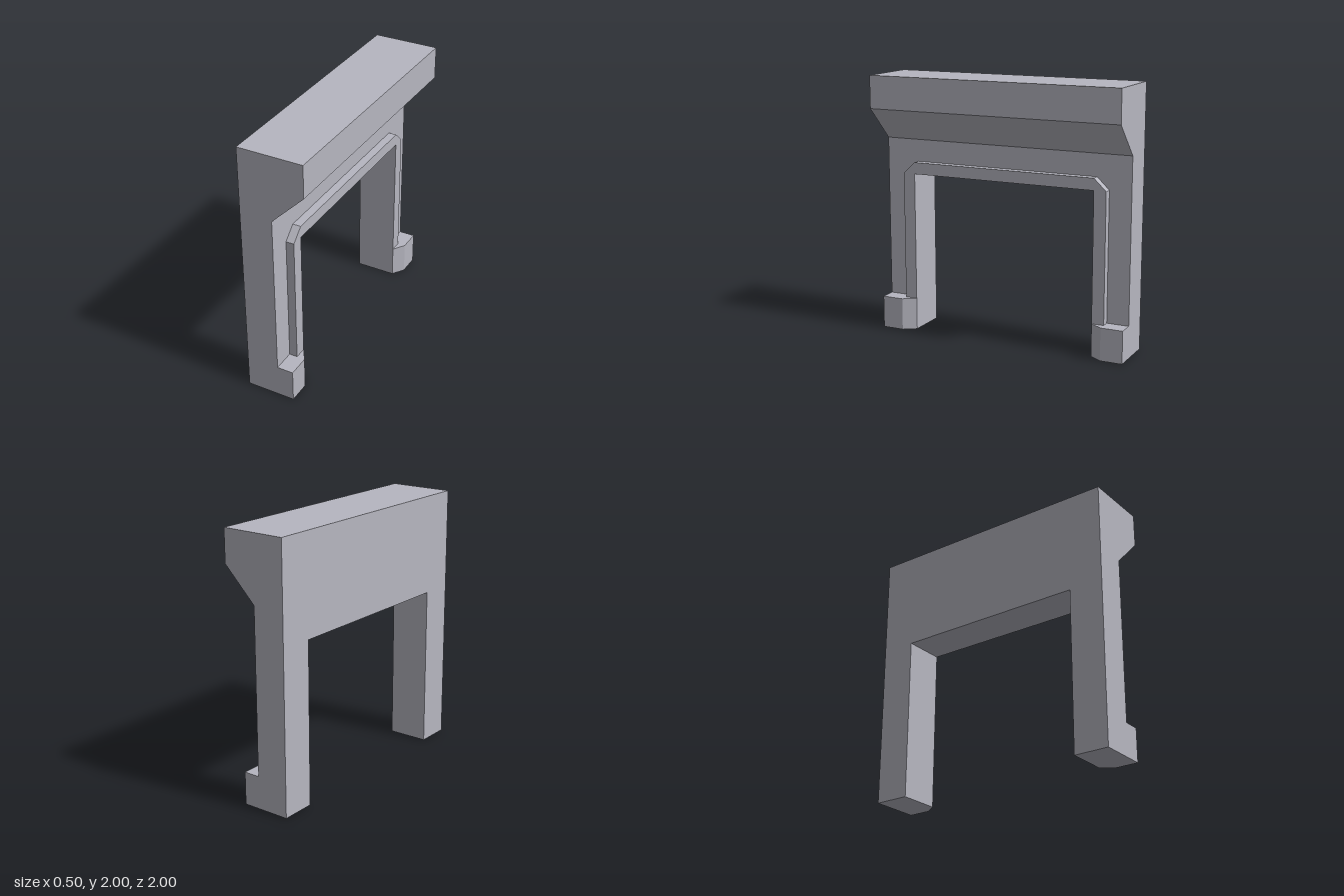
import * as THREE from 'three';

const HALF = 1, OPEN = 0.735, OPEN_TOP = 1.24, BACK = -0.25;
const TRIM = 0.83, TRIM_TOP = 1.33, TRIM_DEPTH = 0.0625, FOOT_TOP = 0.25;

// Straight extrusion of a closed outline
function prism(points, depth) {
  const shape = new THREE.Shape(points.map(([a, b]) => new THREE.Vector2(a, b)));
  return new THREE.ExtrudeGeometry(shape, { depth, bevelEnabled: false });
}

// Outline drawn across z and y, extruded along x from x0
function prismAlongX(points, depth, x0) {
  return prism(points, depth).rotateY(Math.PI / 2).translate(x0, 0, 0);
}

export function createModel() {
  const group = new THREE.Group();
  const stone = new THREE.MeshStandardMaterial({ color: 0xb6b6c0 });
  stone.name = 'grey stone';

  const add = (name, geometry) => {
    const mesh = new THREE.Mesh(geometry, stone);
    mesh.name = name;
    group.add(mesh);
  };

  // Wall slab with the doorway cut out
  add('wall', prismAlongX([
    [-HALF, 0], [-OPEN, 0], [-OPEN, OPEN_TOP], [OPEN, OPEN_TOP],
    [OPEN, 0], [HALF, 0], [HALF, 2], [-HALF, 2],
  ], -BACK, BACK));

  // Overhanging lintel with sloped underside
  add('overhang', prism([[0, 1.5], [0.25, 1.75], [0.25, 2], [0, 2]], 2 * HALF)
    .translate(0, 0, -HALF));

  // Raised trim around the doorway, with clipped top corners
  add('doorwayTrim', prismAlongX([
    [-TRIM, FOOT_TOP], [-OPEN, FOOT_TOP], [-OPEN, OPEN_TOP], [OPEN, OPEN_TOP],
    [OPEN, FOOT_TOP], [TRIM, FOOT_TOP], [TRIM, OPEN_TOP], [OPEN, TRIM_TOP],
    [-OPEN, TRIM_TOP], [-TRIM, OPEN_TOP],
  ], TRIM_DEPTH, 0));

  // Plinth blocks with a chamfered inner corner
  for (const side of [1, -1]) {
    const plan = [[0, HALF], [0.125, HALF], [0.125, TRIM], [TRIM_DEPTH, OPEN], [0, OPEN]];
    add(side > 0 ? 'frontPlinth' : 'backPlinth',
      prism(plan.map(([x, z]) => [x, -z * side]), FOOT_TOP).rotateX(-Math.PI / 2));
  }

  return group;
}
